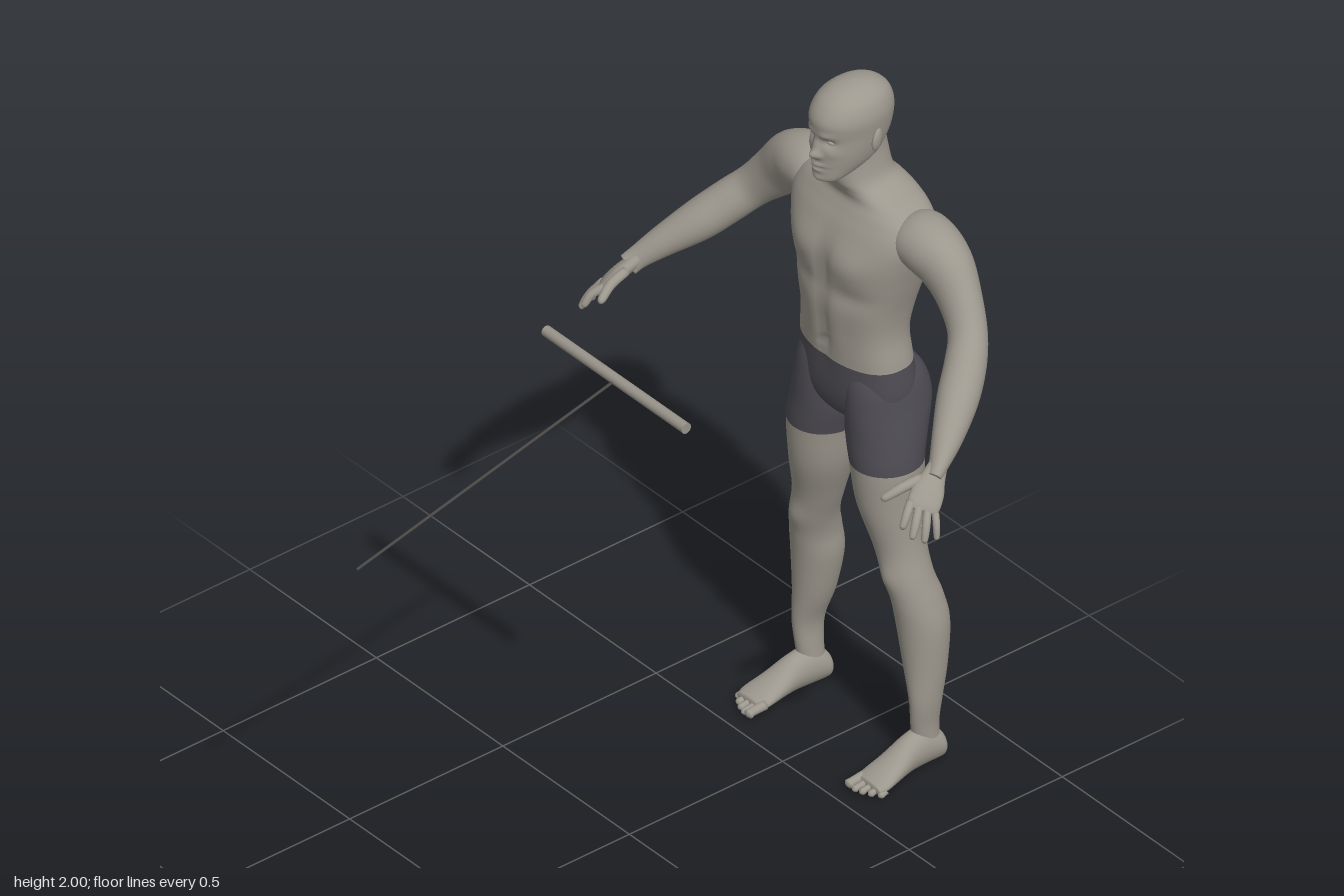
import * as THREE from 'three';

const mat = (name, color) => {
  const m = new THREE.MeshStandardMaterial({ color });
  m.name = name;
  return m;
};

// Catmull-Rom interpolation of numeric rows
function refine(rows, n) {
  const out = [];
  const at = (i) => rows[Math.max(0, Math.min(rows.length - 1, i))];
  for (let i = 0; i < rows.length - 1; i++) {
    for (let k = 0; k < n; k++) {
      const t = k / n;
      out.push(rows[i].map((p1, c) => {
        const p0 = at(i - 1)[c], p2 = at(i + 1)[c], p3 = at(i + 2)[c];
        return p1 + 0.5 * t * (p2 - p0 + t * (2 * p0 - 5 * p1 + 4 * p2 - p3 + t * (3 * (p1 - p2) + p3 - p0)));
      }));
    }
  }
  out.push(rows[rows.length - 1]);
  return out;
}

// Smooth closed loft. Rows are [x, y, z, half width along side, half depth].
// Bumps are [x, y, rx, ry, front(1) or back(-1), dz], mirrored in x.
// Faces whose centre lies within the band of heights go to the second material.
function loft(rows, { side = [1, 0, 0], axis = null, seg = 24, n = 4, power = 1, bumps = [], band = null } = {}) {
  const rings = refine(rows, n), pos = [], main = [], second = [];
  const c = rings.map((r) => new THREE.Vector3(r[0], r[1], r[2]));
  const pw = (v) => Math.sign(v) * Math.abs(v) ** power;
  rings.forEach((r, i) => {
    const T = axis ? new THREE.Vector3(...axis)
      : c[Math.min(i + 1, c.length - 1)].clone().sub(c[Math.max(i - 1, 0)]).normalize();
    const V = T.clone().cross(new THREE.Vector3(...side)).normalize();
    const U = V.clone().cross(T);
    for (let j = 0; j < seg; j++) {
      const a = (j / seg) * Math.PI * 2, s = Math.sin(a);
      const p = c[i].clone().addScaledVector(U, Math.max(r[3], 0.001) * pw(Math.cos(a)))
        .addScaledVector(V, Math.max(r[4], 0.001) * pw(s));
      let dz = 0;
      for (const [bx, by, rx, ry, f, d] of bumps) {
        const w = Math.exp(-(((Math.abs(p.x) - bx) / rx) ** 2) - ((p.y - by) / ry) ** 2);
        dz += d * w * Math.max(0, -f * s);
      }
      pos.push(p.x, p.y, p.z + dz);
    }
  });
  const last = (rings.length - 1) * seg, cap = pos.length / 3;
  pos.push(...c[0].toArray(), ...c[c.length - 1].toArray());
  const tri = (...f) => {
    const y = f.reduce((sum, k) => sum + pos[k * 3 + 1], 0) / 3;
    (band && y > band[0] && y < band[1] ? second : main).push(...f);
  };
  for (let j = 0; j < seg; j++) {
    const k = (j + 1) % seg;
    for (let i = 0; i < last; i += seg) {
      tri(i + j, i + k, i + seg + k);
      tri(i + j, i + seg + k, i + seg + j);
    }
    tri(cap, k, j);
    tri(cap + 1, last + j, last + k);
  }
  const g = new THREE.BufferGeometry();
  g.setAttribute('position', new THREE.Float32BufferAttribute(pos, 3));
  g.setIndex([...main, ...second]);
  g.addGroup(0, main.length, 0);
  if (second.length) g.addGroup(main.length, second.length, 1);
  g.computeVertexNormals();
  return g;
}

export function createModel() {
  const model = new THREE.Group();
  const skin = mat('skin', 0x9d988e), cloth = mat('dark cloth', 0x4e4c53);
  const metal = mat('bar metal', 0x98938a), cord = mat('cable', 0x4a4846);
  const body = [skin, cloth], band = [0.9, 1.19];
  const add = (name, geometry, material, parent = model) => {
    const m = new THREE.Mesh(geometry, material);
    m.name = name;
    parent.add(m);
    return m;
  };

  // Torso and neck
  add('torso', loft([
    [0, 0.985, -0.745, 0.03, 0.04], [0, 1.02, -0.745, 0.11, 0.085], [0, 1.08, -0.75, 0.178, 0.108],
    [0, 1.19, -0.742, 0.174, 0.103], [0, 1.28, -0.737, 0.163, 0.103], [0, 1.36, -0.742, 0.172, 0.116],
    [0, 1.45, -0.752, 0.196, 0.125], [0, 1.53, -0.759, 0.218, 0.127], [0, 1.59, -0.77, 0.232, 0.118],
    [0, 1.635, -0.779, 0.215, 0.104], [0, 1.665, -0.782, 0.165, 0.094], [0, 1.69, -0.772, 0.108, 0.09],
    [0, 1.72, -0.755, 0.074, 0.084], [0, 1.78, -0.75, 0.062, 0.076], [0, 1.84, -0.745, 0.06, 0.07],
  ], {
    axis: [0, 1, 0], seg: 64, n: 6, power: 0.85, band, bumps: [
      [0.09, 1.5, 0.07, 0.05, 1, 0.014], [0, 1.48, 0.018, 0.09, 1, -0.01], [0.1, 1.41, 0.07, 0.025, 1, -0.008],
      [0, 1.3, 0.012, 0.11, 1, -0.006], [0.045, 1.3, 0.03, 0.09, 1, 0.005], [0, 1.235, 0.01, 0.01, 1, -0.01],
      [0, 1.4, 0.025, 0.2, -1, 0.02], [0.1, 1.55, 0.06, 0.07, -1, -0.012], [0.05, 1.28, 0.03, 0.09, -1, -0.008],
      [0, 1.07, 0.025, 0.07, -1, 0.03],
    ],
  }), body);

  // Head with sculpted face
  const head = new THREE.Group();
  head.name = 'head';
  model.add(head);
  add('skull', loft([
    [0, 1.735, -0.645, 0.018, 0.016], [0, 1.748, -0.655, 0.042, 0.042], [0, 1.785, -0.7, 0.064, 0.09],
    [0, 1.825, -0.715, 0.075, 0.106], [0, 1.87, -0.725, 0.081, 0.114], [0, 1.92, -0.725, 0.085, 0.118],
    [0, 1.96, -0.729, 0.074, 0.101], [0, 1.985, -0.731, 0.05, 0.07], [0, 1.996, -0.731, 0.026, 0.036],
    [0, 2, -0.731, 0.002, 0.002],
  ], {
    axis: [0, 1, 0], seg: 80, n: 8, power: 0.94, bumps: [
      [0, 1.825, 0.012, 0.012, 1, 0.02], [0, 1.85, 0.008, 0.022, 1, 0.011], [0.015, 1.822, 0.007, 0.007, 1, 0.006],
      [0.033, 1.864, 0.016, 0.011, 1, -0.013], [0.03, 1.886, 0.022, 0.008, 1, 0.006],
      [0, 1.793, 0.022, 0.006, 1, 0.009], [0, 1.777, 0.018, 0.006, 1, 0.008], [0, 1.785, 0.024, 0.003, 1, -0.005],
      [0, 1.75, 0.02, 0.012, 1, 0.006], [0.045, 1.835, 0.016, 0.014, 1, 0.004],
    ],
  }), skin, head);

  for (const m of [1, -1]) {
    const word = m > 0 ? 'left' : 'right';
    const flip = (rows) => rows.map((r) => [r[0] * m, ...r.slice(1)]);
    const limb = (name, rows, opts, material = skin, parent = model) =>
      add(name, loft(flip(rows), opts), material, parent);

    // Eye and ear
    const eye = add(word + 'Eye', new THREE.SphereGeometry(0.011, 16, 10), skin, head);
    eye.position.set(m * 0.031, 1.864, -0.635);
    eye.scale.set(1.2, 0.6, 1);
    const ear = add(word + 'Ear', new THREE.SphereGeometry(1, 16, 12), skin, head);
    ear.position.set(m * 0.085, 1.855, -0.738);
    ear.scale.set(0.009, 0.032, 0.019);
    ear.rotation.set(-0.2, m * 0.3, 0);

    // Leg
    limb(word + 'Leg', [
      [0.225, 0.04, -0.785, 0.032, 0.038], [0.228, 0.12, -0.776, 0.029, 0.041], [0.232, 0.2, -0.776, 0.034, 0.048],
      [0.219, 0.3, -0.785, 0.053, 0.06], [0.208, 0.42, -0.786, 0.066, 0.071], [0.2, 0.5, -0.773, 0.061, 0.071],
      [0.184, 0.57, -0.757, 0.06, 0.068], [0.158, 0.66, -0.75, 0.066, 0.071], [0.134, 0.78, -0.741, 0.083, 0.09],
      [0.124, 0.9, -0.738, 0.094, 0.098], [0.109, 0.98, -0.75, 0.099, 0.11], [0.1, 1.06, -0.762, 0.092, 0.122],
      [0.094, 1.13, -0.757, 0.083, 0.112], [0.09, 1.185, -0.745, 0.06, 0.085],
    ], { axis: [0, 1, 0], seg: 36, n: 6, band, bumps: [[0.182, 0.575, 0.03, 0.035, 1, 0.007]] }, body);

    // Foot and toes
    const foot = new THREE.Group();
    foot.name = word + 'Foot';
    model.add(foot);
    limb('sole', [
      [0.225, 0.034, -0.836, 0.014, 0.018], [0.225, 0.042, -0.822, 0.034, 0.04], [0.226, 0.056, -0.775, 0.037, 0.055],
      [0.229, 0.053, -0.72, 0.038, 0.051], [0.233, 0.036, -0.66, 0.046, 0.034], [0.236, 0.023, -0.61, 0.052, 0.021],
      [0.236, 0.017, -0.583, 0.045, 0.013],
    ], { axis: [0, 0, 1] }, skin, foot);
    for (let i = 0; i < 5; i++) {
      const x = 0.198 + i * 0.021, z = -0.546 - i * i * 0.0022, r = i ? 0.0095 : 0.014;
      limb('toe', [
        [x, r + 0.006, -0.605, r, r], [x, r + 0.003, z - 0.018, r * 0.9, r * 0.85],
        [x, r, z - 0.006, r, r * 0.95], [x, r - 0.002, z, r * 0.35, r * 0.3],
      ], { seg: 12 }, skin, foot);
    }

    // Arm from chest to wrist
    limb(word + 'Arm', [
      [0.13, 1.6, -0.78, 0.03, 0.04], [0.18, 1.598, -0.783, 0.066, 0.076], [0.24, 1.59, -0.785, 0.079, 0.08],
      [0.3, 1.56, -0.787, 0.08, 0.07], [0.36, 1.5, -0.78, 0.068, 0.056], [0.42, 1.435, -0.757, 0.056, 0.05],
      [0.465, 1.382, -0.713, 0.056, 0.054], [0.51, 1.325, -0.65, 0.054, 0.054], [0.56, 1.267, -0.575, 0.041, 0.04],
      [0.592, 1.225, -0.52, 0.031, 0.025], [0.603, 1.205, -0.494, 0.03, 0.02],
    ], { side: [m * 0.7, 0.7, 0.1], seg: 32, n: 6 });

    // Hand and fingers
    const hand = new THREE.Group();
    hand.name = word + 'Hand';
    model.add(hand);
    const across = [m * 0.72, -0.42, -0.55];
    limb('palm', [
      [0.59, 1.228, -0.523, 0.024, 0.02], [0.602, 1.205, -0.495, 0.032, 0.02], [0.615, 1.183, -0.468, 0.042, 0.019],
      [0.628, 1.16, -0.443, 0.043, 0.015], [0.635, 1.147, -0.43, 0.037, 0.009],
    ], { side: across, seg: 20 }, skin, hand);
    const digit = (name, a, b, r) => {
      const mid = a.map((v, i) => (v + b[i]) / 2 + [0.004, 0.006, 0.002][i]);
      const near = b.map((v, i) => v + (a[i] - v) * 0.1);
      limb(name, [[...a, r, r], [...mid, r, r], [...near, r * 0.8, r * 0.8], [...b, r * 0.3, r * 0.3]],
        { side: across, seg: 12 }, skin, hand);
    };
    digit('indexFinger', [0.606, 1.168, -0.418], [0.632, 1.118, -0.368], 0.0115);
    digit('middleFinger', [0.624, 1.158, -0.43], [0.657, 1.094, -0.38], 0.0115);
    digit('ringFinger', [0.642, 1.149, -0.442], [0.674, 1.081, -0.406], 0.011);
    digit('littleFinger', [0.657, 1.143, -0.456], [0.682, 1.08, -0.44], 0.0095);
    digit('thumb', [0.585, 1.205, -0.47], [0.558, 1.172, -0.362], 0.0135);
  }

  // Pull bar and cable
  const bar = add('pullBar', new THREE.CylinderGeometry(0.015, 0.015, 0.555, 24), metal);
  bar.rotation.z = Math.PI / 2;
  bar.position.set(0, 1.42, 0.043);
  const path = new THREE.LineCurve3(new THREE.Vector3(0, 1.42, 0.043), new THREE.Vector3(0, 1.215, 0.89));
  add('cable', new THREE.TubeGeometry(path, 1, 0.004, 10), cord);
  return model;
}
